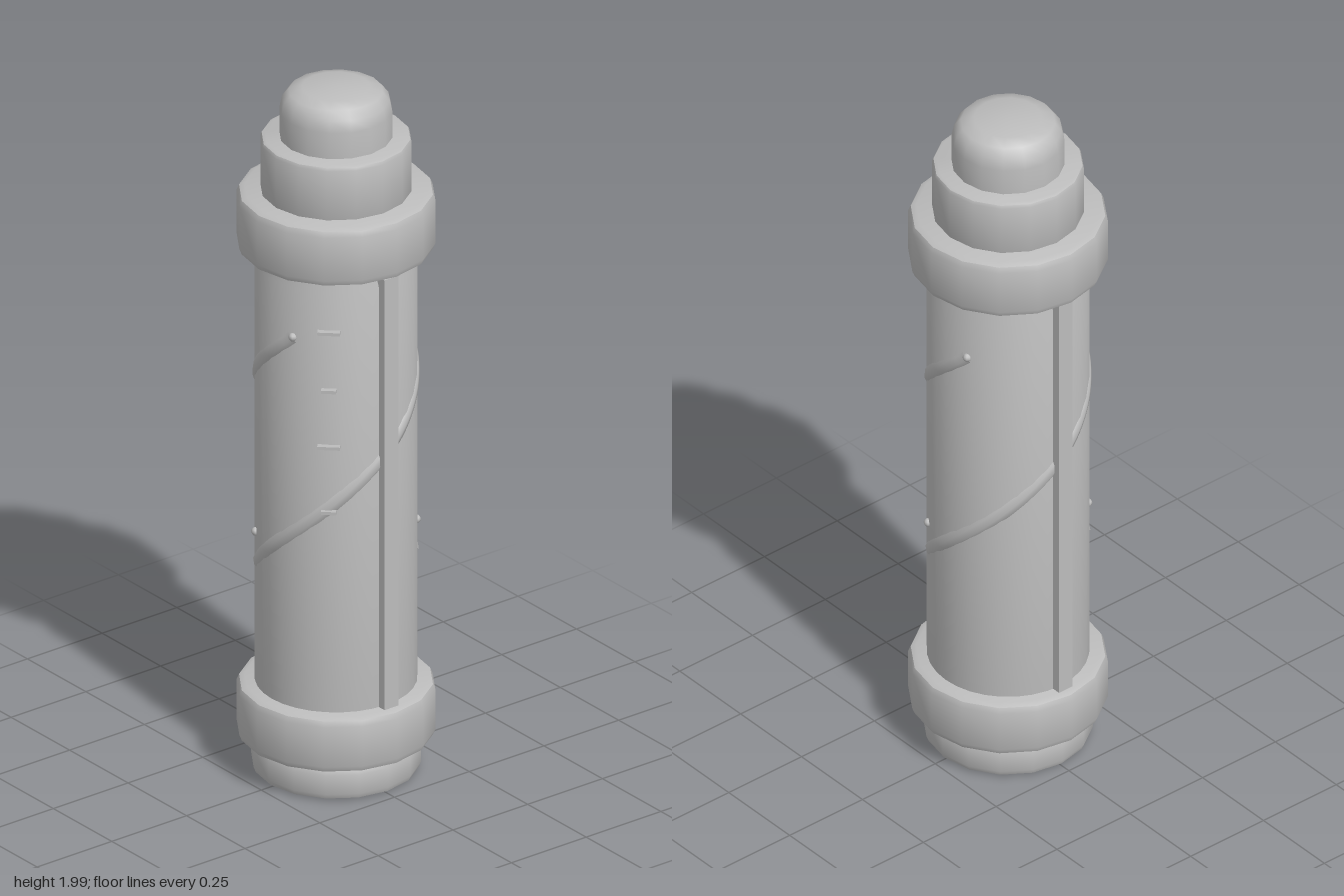
import * as THREE from 'three';
import { toCreasedNormals } from 'three/addons/utils/BufferGeometryUtils.js';

const R = 0.215; // barrel radius

// Point on the barrel: angle runs from +z towards +x
const polar = (deg, r, y) => {
  const a = THREE.MathUtils.degToRad(deg);
  return new THREE.Vector3(Math.sin(a) * r, y, Math.cos(a) * r);
};

export function createModel() {
  const group = new THREE.Group();
  const grey = new THREE.MeshStandardMaterial({ color: 0xbcbcbc });
  grey.name = 'plain grey';

  const add = (name, geometry) => {
    const mesh = new THREE.Mesh(geometry, grey);
    mesh.name = name;
    group.add(mesh);
    return mesh;
  };
  // Turned part from a profile listed bottom to top
  const turned = (name, sides, profile) => add(name, toCreasedNormals(
    new THREE.LatheGeometry(profile.map(([r, y]) => new THREE.Vector2(r, y)), sides), 0.65));
  // Ring with bevelled edges
  const ring = (name, r, y0, y1, b, sides = 16) => turned(name, sides, [
    [0, y0], [r - b, y0], [r - b * 0.3, y0 + b * 0.3], [r, y0 + b],
    [r, y1 - b], [r - b * 0.3, y1 - b * 0.3], [r - b, y1], [0, y1]]);

  // Stacked body
  ring('base', 0.225, 0.008, 0.103, 0.02);
  ring('lowerCollar', 0.264, 0.105, 0.265, 0.022);
  turned('barrel', 32, [[0.2, 0.09], [R, 0.27], [R, 1.495], [0.206, 1.52], [0.206, 1.54]]);
  ring('upperCollar', 0.264, 1.53, 1.7, 0.022);
  ring('neck', 0.201, 1.69, 1.855, 0.012);
  turned('button', 16, [[0.15, 1.84], [0.15, 1.93], [0.143, 1.962], [0.125, 1.985],
    [0.09, 1.996], [0, 2]]);

  // Upright rails on both sides
  for (const s of [-1, 1]) {
    const rail = add(s > 0 ? 'leftRail' : 'rightRail', new THREE.BoxGeometry(0.04, 1.26, 0.046));
    rail.position.set(s * 0.217, 0.895, 0);
  }

  // Two low spiral ridges, with a small stud at each end
  for (const turn of [0, 180]) {
    const points = [];
    for (let i = 0; i <= 20; i++) points.push(polar(turn - 30 + i * 11.5, 0.191, 0.62 + i * 0.0365));
    add('spiralRidge', new THREE.TubeGeometry(new THREE.CatmullRomCurve3(points), 60, 0.03, 10));
    for (const [deg, y] of [[-28, 0.71], [200, 1.35]]) {
      const stud = add('spiralStud', new THREE.SphereGeometry(0.012, 8, 6));
      stud.position.copy(polar(turn + deg, R, y));
    }
  }

  // Small ticks down the front corner
  [1.38, 1.21, 1.045, 0.855].forEach((y, i) => {
    const tick = add('tick', new THREE.BoxGeometry(i % 2 ? 0.04 : 0.06, 0.009, 0.04));
    tick.position.copy(polar(47, 0.21, y));
    tick.rotation.y = THREE.MathUtils.degToRad(47);
  });

  return group;
}
